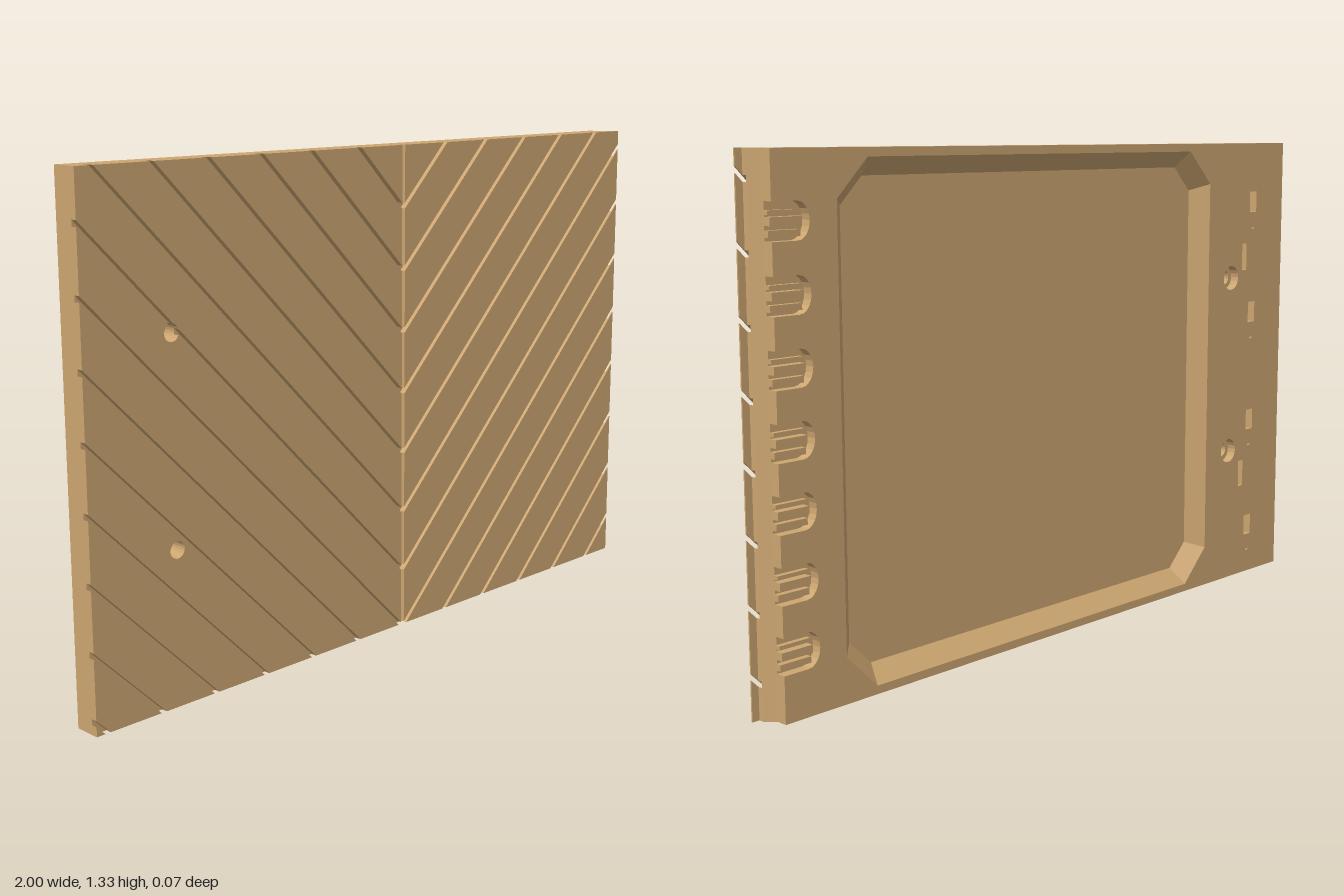
import * as THREE from 'three';

const H = 1.33, BACK = -0.037, FRONT = 0.037, SEAM = 0.045, GAP = 0.0055;
const BOLTS = [[-0.745, 0.93], [-0.745, 0.4]], BOLT_R = 0.022;

const toShape = pts => new THREE.Shape(pts.map(p => new THREE.Vector2(p[0], p[1])));
const rect = (x, y, w, h) => [[x - w / 2, y - h / 2], [x + w / 2, y - h / 2], [x + w / 2, y + h / 2], [x - w / 2, y + h / 2]];
const circle = ([x, y], r, n = 20) => Array.from({ length: n }, (_, i) => {
  const a = i / n * Math.PI * 2;
  return [x + r * Math.cos(a), y + r * Math.sin(a)];
});
// Rectangle with cut corners
const octagon = (x0, x1, y0, y1, c) => [
  [x0 + c, y0], [x1 - c, y0], [x1, y0 + c], [x1, y1 - c],
  [x1 - c, y1], [x0 + c, y1], [x0, y1 - c], [x0, y0 + c]];

// Flat outline with holes, extruded from z0 to z1
function plate(outline, holes, z0, z1) {
  const s = toShape(outline);
  holes.forEach(h => s.holes.push(toShape(h)));
  return new THREE.ExtrudeGeometry(s, { depth: z1 - z0, bevelEnabled: false }).translate(0, 0, z0);
}

// Keep the part of a polygon where a*x + b*y <= c
function clip(poly, a, b, c) {
  const out = [];
  poly.forEach((p, i) => {
    const q = poly[(i + 1) % poly.length];
    const dp = a * p[0] + b * p[1] - c, dq = a * q[0] + b * q[1] - c;
    if (dp <= 0) out.push(p);
    if (dp * dq < 0) {
      const t = dp / (dp - dq);
      out.push([p[0] + (q[0] - p[0]) * t, p[1] + (q[1] - p[1]) * t]);
    }
  });
  return out;
}

// Bite a circle out of any polygon edge that it crosses
function bite(poly, [cx, cy], r) {
  const out = [];
  let cut = false;
  poly.forEach((p, i) => {
    const q = poly[(i + 1) % poly.length];
    out.push(p);
    const L = Math.hypot(q[0] - p[0], q[1] - p[1]);
    if (L < 1e-6) return;
    const ux = (q[0] - p[0]) / L, uy = (q[1] - p[1]) / L;
    const m = (cx - p[0]) * ux + (cy - p[1]) * uy;
    const d = (cx - p[0]) * -uy + (cy - p[1]) * ux;
    if (Math.abs(d) >= r) return;
    const h = Math.sqrt(r * r - d * d);
    if (m - h < 0 || m + h > L) return;
    cut = true;
    const base = Math.atan2(uy, ux), a0 = base + Math.atan2(-d, -h);
    let sweep = Math.atan2(-d, -h) - Math.atan2(-d, h);
    if (sweep < 0) sweep += Math.PI * 2;
    for (let j = 0; j <= 10; j++) {
      const a = a0 - sweep * j / 10;
      out.push([cx + r * Math.cos(a), cy + r * Math.sin(a)]);
    }
  });
  return { poly: out, cut };
}

const inside = (poly, [x, y]) => poly.every((p, i) => {
  const q = poly[(i + 1) % poly.length];
  return (q[0] - p[0]) * (y - p[1]) - (q[1] - p[1]) * (x - p[0]) >= 0;
});

export function createModel() {
  const model = new THREE.Group();
  const wood = new THREE.MeshStandardMaterial({ color: 0xcda671 });
  wood.name = 'wood';
  const add = (name, geo, parent = model) => {
    const m = new THREE.Mesh(geo, wood);
    m.name = name;
    parent.add(m);
    return m;
  };

  // Diagonal planks on the front, mirrored at the centre seam
  const planks = new THREE.Group();
  planks.name = 'frontPlanks';
  model.add(planks);
  const step = 0.1675;
  function plankRow(xMin, z0, z1, mirrored) {
    for (let k = -1; k < 14; k++) {
      const hi = 1.21 - step * k;
      let poly = [[xMin, 0], [SEAM - GAP, 0], [SEAM - GAP, H], [xMin, H]];
      poly = clip(poly, 1, 1, hi - GAP * Math.SQRT2);
      poly = clip(poly, -1, -1, -(hi - step + GAP * Math.SQRT2));
      if (poly.length < 3) continue;
      const holes = [];
      if (mirrored) {
        poly = poly.map(([x, y]) => [2 * SEAM - x, y]).reverse();
      } else {
        const whole = poly;
        BOLTS.forEach(b => {
          const r = bite(poly, b, BOLT_R);
          poly = r.poly;
          if (!r.cut && inside(whole, b)) holes.push(circle(b, BOLT_R));
        });
      }
      add('plank', plate(poly, holes, z0, z1), planks);
    }
  }
  plankRow(-1, 0.02, FRONT, false);
  plankRow(2 * SEAM - 0.98, 0.02, 0.033, true);
  plankRow(2 * SEAM - 1, 0.033, FRONT, true);

  // Body outlines, with and without the round-ended slots in the left edge
  const EDGE = 0.957;
  const body = [[-1, 0], [EDGE, 0], [EDGE, H], [-1, H]];
  const slotYs = Array.from({ length: 7 }, (_, i) => 0.163 + i * 0.1675);
  const notched = [[-1, 0], [EDGE, 0]];
  slotYs.forEach(y => {
    notched.push([EDGE, y - 0.045]);
    for (let j = 0; j <= 10; j++) {
      const a = -Math.PI / 2 - Math.PI * j / 10;
      notched.push([0.885 + 0.035 * Math.cos(a), y + 0.045 * Math.sin(a)]);
    }
    notched.push([EDGE, y + 0.045]);
  });
  notched.push([EDGE, H], [-1, H]);

  // Back layers with the pocket, counterbores and small fitting slots
  const FLOOR = 0.008;
  const pocket = octagon(-0.635, 0.77, 0.022, H - 0.022, 0.095);
  const pocketFloor = octagon(-0.59, 0.725, 0.067, H - 0.067, 0.068);
  const bolts = BOLTS.map(b => circle(b, BOLT_R));
  const fittings = [];
  [0.15, 0.485, 0.82, 1.155].forEach(y => {
    fittings.push(rect(-0.85, y, 0.033, 0.062), rect(-0.85, y - 0.08, 0.014, 0.005));
  });
  [0.32, 0.99].forEach(y => fittings.push(rect(-0.81, y, 0.022, 0.08)));
  add('backLayer', plate(notched, [pocket, ...BOLTS.map(b => circle(b, 0.036)), ...fittings], BACK, -0.01));
  add('middleLayer', plate(body, [pocket, ...bolts], -0.01, FLOOR));
  add('frontLayer', plate(body, bolts, FLOOR, 0.02));

  // Sloping walls of the pocket
  const v = [];
  pocket.forEach((p, i) => {
    const j = (i + 1) % 8;
    const a = [...p, BACK], b = [...pocket[j], BACK];
    const c = [...pocketFloor[j], FLOOR], d = [...pocketFloor[i], FLOOR];
    v.push(...a, ...c, ...b, ...a, ...d, ...c);
  });
  const walls = new THREE.BufferGeometry();
  walls.setAttribute('position', new THREE.Float32BufferAttribute(v, 3));
  walls.computeVertexNormals();
  const wallMesh = add('pocketWalls', walls);
  wallMesh.material = wood;
  wood.side = THREE.DoubleSide;

  // Bevelled strip along the left edge, drawn in x and -z and stood upright
  const bevel = plate([[EDGE, -0.02], [0.98, -0.02], [0.98, -0.018], [EDGE, 0.007]], [], 0, H);
  add('edgeBevel', bevel.rotateX(-Math.PI / 2));

  // Ribs inside each edge slot
  slotYs.forEach(y => {
    const clipGroup = new THREE.Group();
    clipGroup.name = 'edgeClip';
    clipGroup.position.y = y;
    model.add(clipGroup);
    [[-0.028, 0.016, 0.016], [0, 0.02, 0.023], [0.02, 0.01, 0.014]].forEach(([dy, h, d]) => {
      add('clipRib', new THREE.BoxGeometry(0.09, h, d).translate(0.914, dy, -0.01 - d / 2), clipGroup);
    });
  });
  return model;
}
